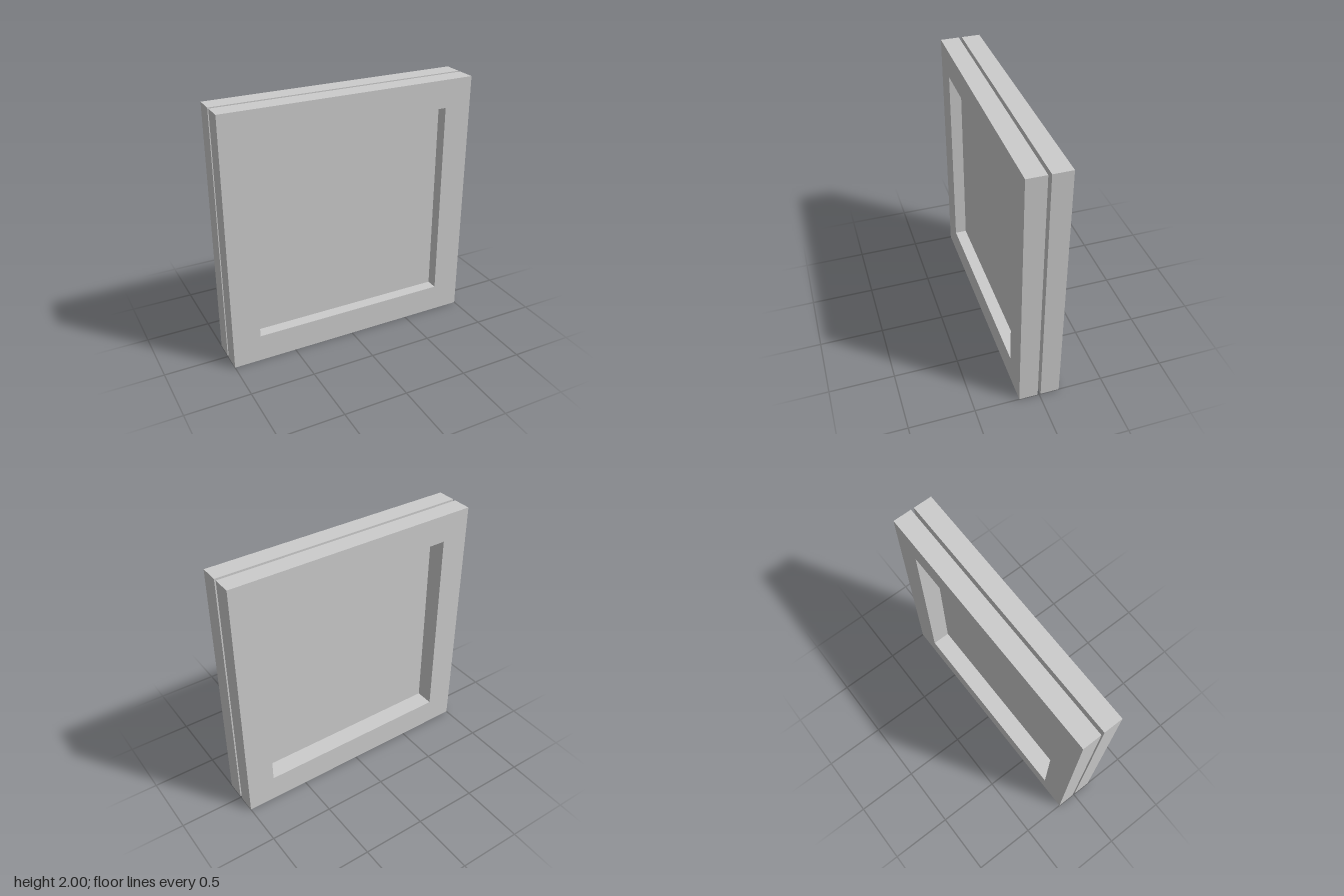
import * as THREE from 'three';

const HALF = 1, OPENING = 0.783, GAP = 0.012, DEPTH = 0.145, PAD_FRONT = 0.065;

const square = (path, h) =>
  path.moveTo(-h, -h).lineTo(h, -h).lineTo(h, h).lineTo(-h, h).closePath();

export function createModel() {
  const group = new THREE.Group();
  const material = new THREE.MeshStandardMaterial({ color: 0xcccccc, flatShading: true });

  const add = (name, geometry, z) => {
    const mesh = new THREE.Mesh(geometry, material);
    mesh.name = name;
    mesh.position.set(0, HALF, z);
    group.add(mesh);
  };

  // Two square frames, separated by a narrow gap
  const outline = square(new THREE.Shape(), HALF);
  outline.holes.push(square(new THREE.Path(), OPENING));
  const frame = new THREE.ExtrudeGeometry(outline, { depth: DEPTH, bevelEnabled: false });
  add('frontFrame', frame, GAP);
  add('backFrame', frame, -GAP - DEPTH);

  // Thin panel held between the frames, slightly wider than the openings
  add('centrePanel', new THREE.BoxGeometry(1.59, 1.59, GAP * 2), 0);

  // Thicker pane filling the rear part of the front opening
  const padDepth = PAD_FRONT - GAP;
  add('frontPane', new THREE.BoxGeometry(OPENING * 2, OPENING * 2, padDepth), GAP + padDepth / 2);

  return group;
}
